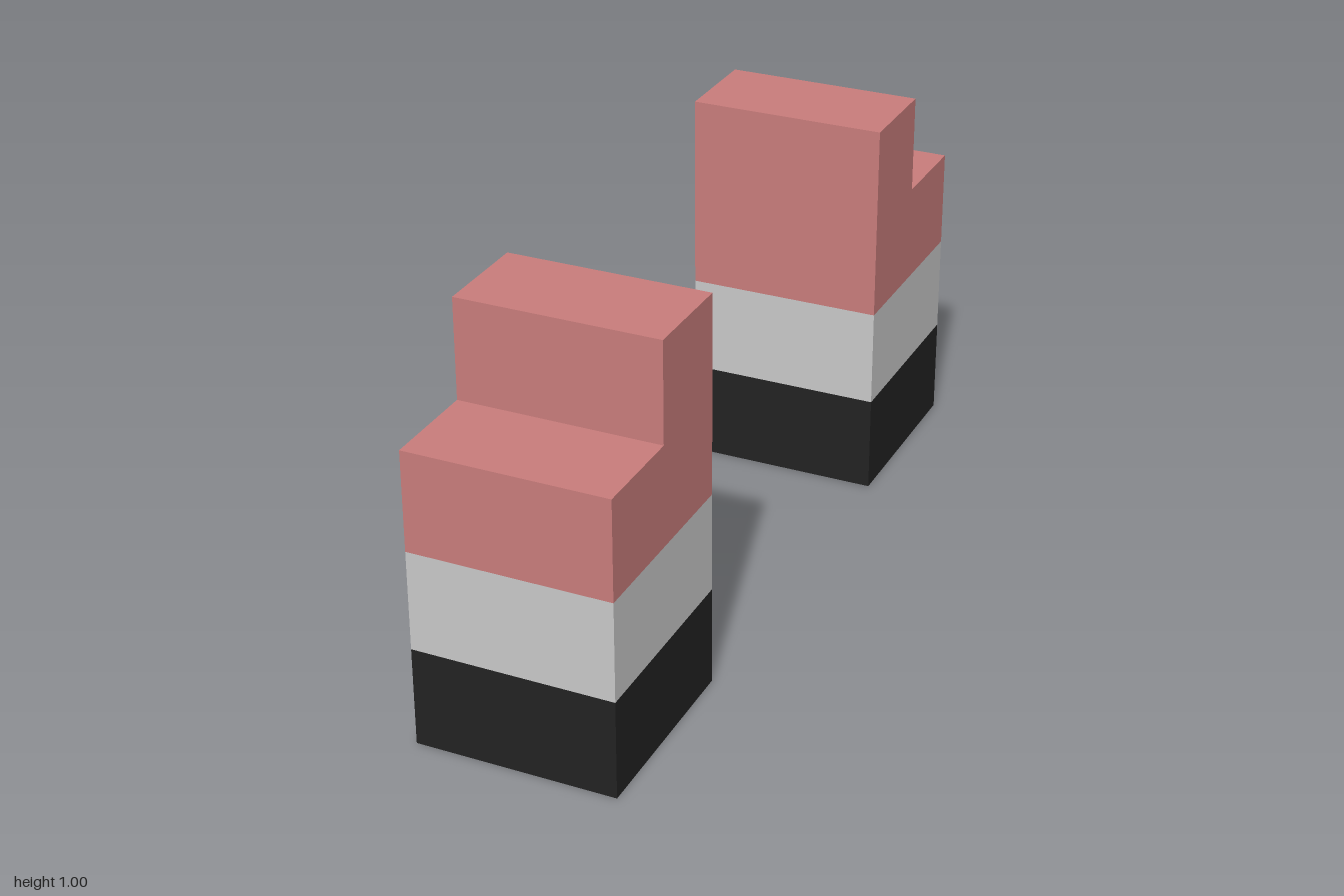
import * as THREE from 'three';

const flat = (name, color) => {
  const material = new THREE.MeshStandardMaterial({ color });
  material.name = name;
  return material;
};

const WIDTH = 0.5, DEPTH = 0.5, BAND = 0.25, CENTRE_Z = 0.75;

// One stepped post: dark base, grey band and a red top with its low step facing out
function createPost(name, materials) {
  const post = new THREE.Group();
  post.name = name;

  const addBand = (partName, level, material) => {
    const mesh = new THREE.Mesh(new THREE.BoxGeometry(WIDTH, BAND, DEPTH), material);
    mesh.name = partName;
    mesh.position.set(0, (level + 0.5) * BAND, CENTRE_Z);
    post.add(mesh);
  };
  addBand('base', 0, materials.black);
  addBand('middleBand', 1, materials.grey);

  // Step profile drawn as (z, y), then extruded across the width
  const profile = new THREE.Shape([
    [0.5, 0.5], [1, 0.5], [1, 0.75], [0.75, 0.75], [0.75, 1], [0.5, 1],
  ].map(([z, y]) => new THREE.Vector2(z, y)));
  const geometry = new THREE.ExtrudeGeometry(profile, { depth: WIDTH, bevelEnabled: false });
  geometry.translate(0, 0, -WIDTH / 2).rotateY(-Math.PI / 2);
  const top = new THREE.Mesh(geometry, materials.red);
  top.name = 'steppedTop';
  post.add(top);
  return post;
}

export function createModel() {
  const model = new THREE.Group();
  model.name = 'steppedPosts';
  const materials = {
    black: flat('black', 0x222222),
    grey: flat('lightGrey', 0xc9c9c9),
    red: flat('dustyRed', 0xc97d7c),
  };

  // The back post is the front one turned half way round
  const front = createPost('frontPost', materials);
  const back = createPost('backPost', materials);
  back.rotation.y = Math.PI;
  model.add(front, back);
  return model;
}
